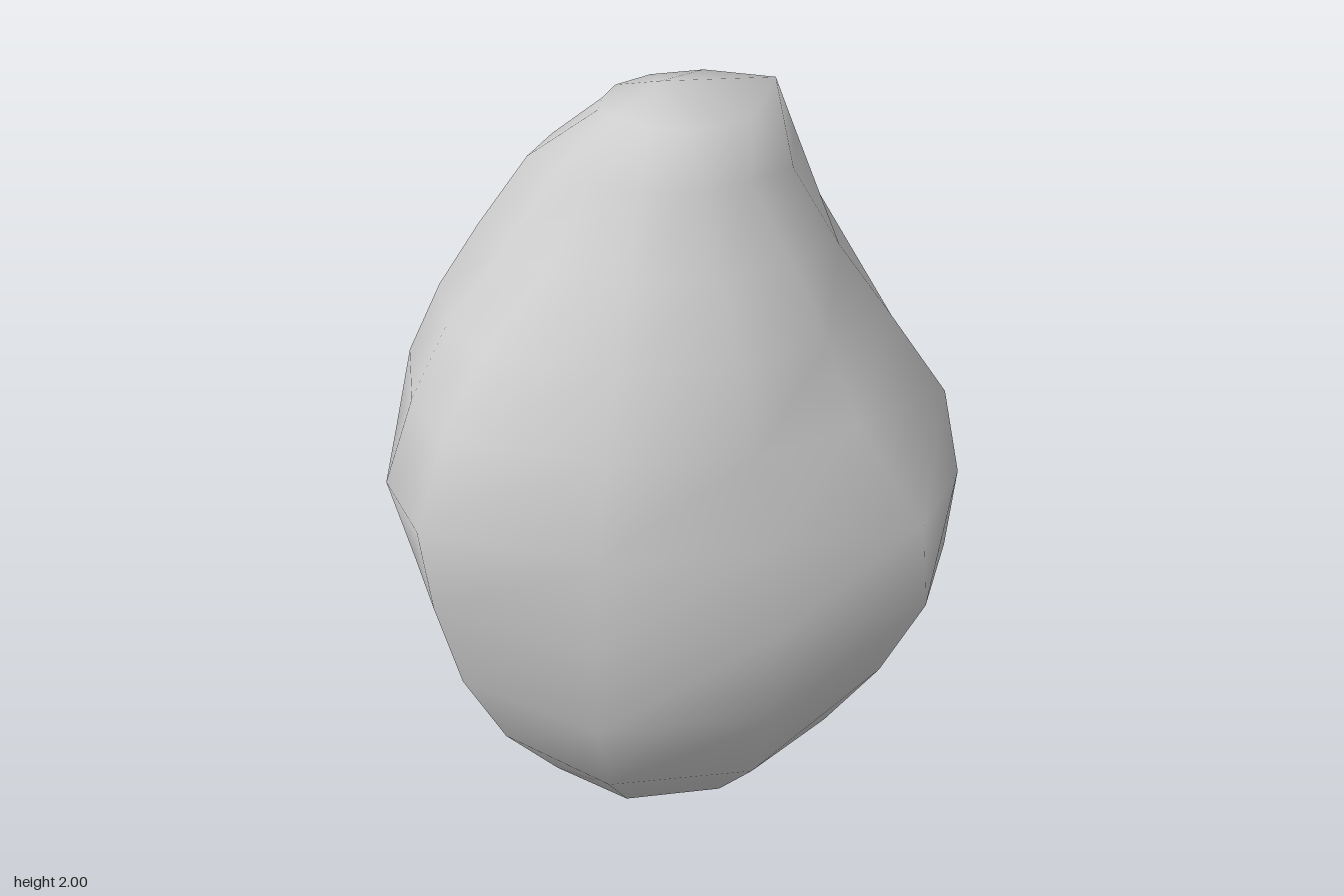
import * as THREE from 'three';

// Compass directions of the boulder's main corners, in degrees from +x round through +z (front)
const ANGLES = [-6, 28, 66, 101, 122, 150, 182, 206, 229, 252, 280, 328];

// How far the middle layers rise towards the front
const TILT = 0.08;

// Each ring: height, then the radius in each direction
const RINGS = [
  [0.02, 0.17, 0.17, 0.17, 0.17, 0.18, 0.19, 0.19, 0.16, 0.14, 0.14, 0.18, 0.19],
  [0.15, 0.34, 0.38, 0.40, 0.38, 0.34, 0.32, 0.33, 0.32, 0.30, 0.27, 0.27, 0.34],
  [0.33, 0.52, 0.56, 0.59, 0.55, 0.47, 0.44, 0.47, 0.48, 0.46, 0.40, 0.38, 0.53],
  [0.55, 0.67, 0.66, 0.69, 0.68, 0.58, 0.55, 0.62, 0.67, 0.65, 0.57, 0.53, 0.69],
  [0.79, 0.785, 0.66, 0.70, 0.755, 0.68, 0.65, 0.72, 0.79, 0.79, 0.73, 0.68, 0.77],
  [1.02, 0.765, 0.62, 0.68, 0.79, 0.74, 0.71, 0.79, 0.83, 0.82, 0.815, 0.72, 0.79],
  [1.25, 0.57, 0.55, 0.58, 0.70, 0.66, 0.66, 0.73, 0.75, 0.75, 0.79, 0.71, 0.74],
  [1.45, 0.48, 0.46, 0.47, 0.57, 0.56, 0.57, 0.62, 0.62, 0.63, 0.72, 0.68, 0.59],
  [1.63, 0.38, 0.34, 0.33, 0.36, 0.41, 0.46, 0.49, 0.52, 0.55, 0.61, 0.58, 0.45],
  [1.82, 0.26, 0.24, 0.22, 0.23, 0.28, 0.33, 0.35, 0.40, 0.45, 0.50, 0.48, 0.33],
  [1.95, 0.18, 0.15, 0.12, 0.10, 0.12, 0.15, 0.18, 0.24, 0.30, 0.36, 0.41, 0.23],
];

// Skin the stacked rings and close them with a point at each end
function boulderGeometry() {
  const sides = ANGLES.length;
  const pos = [], index = [];
  for (const [y, ...radii] of RINGS) {
    radii.forEach((r, j) => {
      const a = THREE.MathUtils.degToRad(ANGLES[j]);
      const z = r * Math.sin(a);
      pos.push(r * Math.cos(a), y + TILT * z * Math.sin((y * Math.PI) / 2), z);
    });
  }
  const bottom = pos.length / 3, top = bottom + 1;
  pos.push(-0.03, 0, 0, -0.05, 2, -0.07);
  const last = (RINGS.length - 1) * sides;
  for (let j = 0; j < sides; j++) {
    const k = (j + 1) % sides;
    for (let i = 0; i < last; i += sides) {
      const a = i + j, b = i + k, c = a + sides, d = b + sides;
      index.push(a, c, b, b, c, d);
    }
    index.push(bottom, j, k, last + j, top, last + k);
  }
  const geo = new THREE.BufferGeometry();
  geo.setAttribute('position', new THREE.Float32BufferAttribute(pos, 3));
  geo.setIndex(index);
  geo.computeVertexNormals();
  return geo;
}

export function createModel() {
  const group = new THREE.Group();
  group.name = 'boulder';
  const stone = new THREE.MeshStandardMaterial({ color: 0xcccccc });
  stone.name = 'pale grey stone';
  const body = new THREE.Mesh(boulderGeometry(), stone);
  body.name = 'boulderBody';
  group.add(body);
  return group;
}
